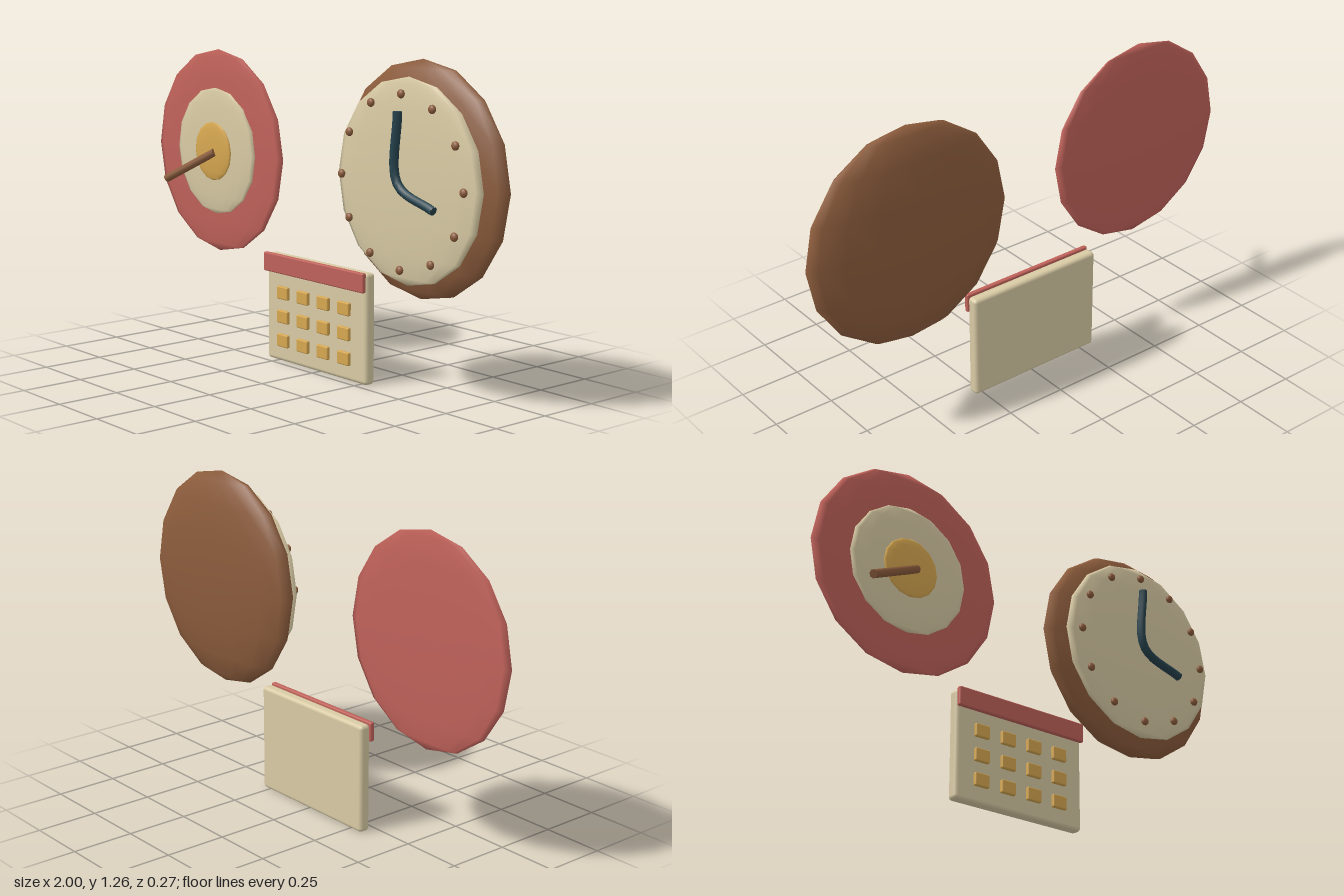
import * as THREE from 'three';
import { RoundedBoxGeometry } from 'three/addons/geometries/RoundedBoxGeometry.js';

const mat = (name, color) => Object.assign(new THREE.MeshStandardMaterial({ color }), { name });

export function createModel() {
  const red = mat('red', 0xc0625a);
  const cream = mat('cream', 0xd8caa4);
  const gold = mat('gold', 0xd6a750);
  const brown = mat('brown', 0x8c5c3c);
  const dark = mat('darkTeal', 0x25424c);

  const model = new THREE.Group();
  const group = (name) => {
    const g = new THREE.Group();
    g.name = name;
    model.add(g);
    return g;
  };
  const add = (parent, name, geometry, material, x, y, z) => {
    const m = new THREE.Mesh(geometry, material);
    m.name = name;
    m.position.set(x, y, z);
    parent.add(m);
    return m;
  };
  // Sphere flattened along z
  const disc = (parent, name, material, r, depth, x, y, z) =>
    add(parent, name, new THREE.SphereGeometry(r, 16, 8).scale(1, 1, depth / r), material, x, y, z);
  const slab = (parent, name, material, w, h, d, r, x, y, z) =>
    add(parent, name, new RoundedBoxGeometry(w, h, d, 2, r), material, x, y, z);

  // Target with a dart stuck in its centre
  const target = group('target');
  const tx = -0.585, ty = 0.823;
  disc(target, 'outerRing', red, 0.415, 0.022, tx, ty, 0.004);
  disc(target, 'middleRing', cream, 0.26, 0.018, tx, ty, 0.02);
  disc(target, 'bullseye', gold, 0.12, 0.012, tx, ty, 0.036);
  const tail = new THREE.Vector3(-0.8, 0.695, 0.117);
  const tip = new THREE.Vector3(-0.563, 0.822, 0.045);
  const dir = tip.clone().sub(tail);
  const mid = tip.clone().add(tail).multiplyScalar(0.5);
  const dart = add(target, 'dart', new THREE.CylinderGeometry(0.017, 0.017, dir.length(), 8), brown, mid.x, mid.y, mid.z);
  dart.quaternion.setFromUnitVectors(new THREE.Vector3(0, 1, 0), dir.normalize());

  // Clock with hour dots and one bent hand
  const clock = group('clock');
  const cx = 0.56, cy = 0.822;
  disc(clock, 'clockBody', brown, 0.44, 0.08, cx, cy, -0.052);
  disc(clock, 'clockFace', cream, 0.38, 0.028, cx, cy, 0.019);
  for (let i = 0; i < 12; i++) {
    const a = (i / 12) * Math.PI * 2;
    disc(clock, 'hourDot', brown, 0.0165, 0.012, cx - 0.005 + Math.sin(a) * 0.32, cy + Math.cos(a) * 0.32, 0.053);
  }
  const path = new THREE.CatmullRomCurve3([
    new THREE.Vector3(0.553, 1.08, 0.067),
    new THREE.Vector3(0.553, 0.822, 0.067),
    new THREE.Vector3(0.741, 0.742, 0.067),
  ]);
  add(clock, 'clockHands', new THREE.TubeGeometry(path, 16, 0.017, 8), dark, 0, 0, 0);
  // End caps of the hands
  [0, 1].forEach((t) => {
    const p = path.getPoint(t);
    const cap = add(clock, 'handEnd', new THREE.CircleGeometry(0.017, 8), dark, p.x, p.y, p.z);
    const out = path.getTangent(t).multiplyScalar(t ? 1 : -1);
    cap.quaternion.setFromUnitVectors(new THREE.Vector3(0, 0, 1), out);
  });

  // Calendar with header strip and day squares
  const calendar = group('calendar');
  slab(calendar, 'page', cream, 0.6, 0.435, 0.048, 0.015, -0.015, 0.2175, -0.053);
  slab(calendar, 'header', red, 0.6, 0.077, 0.02, 0.006, -0.015, 0.401, -0.019);
  for (let row = 0; row < 3; row++) {
    for (let col = 0; col < 4; col++) {
      slab(calendar, 'daySquare', gold, 0.066, 0.052, 0.017, 0.005, -0.202 + col * 0.123, 0.09 + row * 0.0975, -0.02);
    }
  }
  return model;
}
